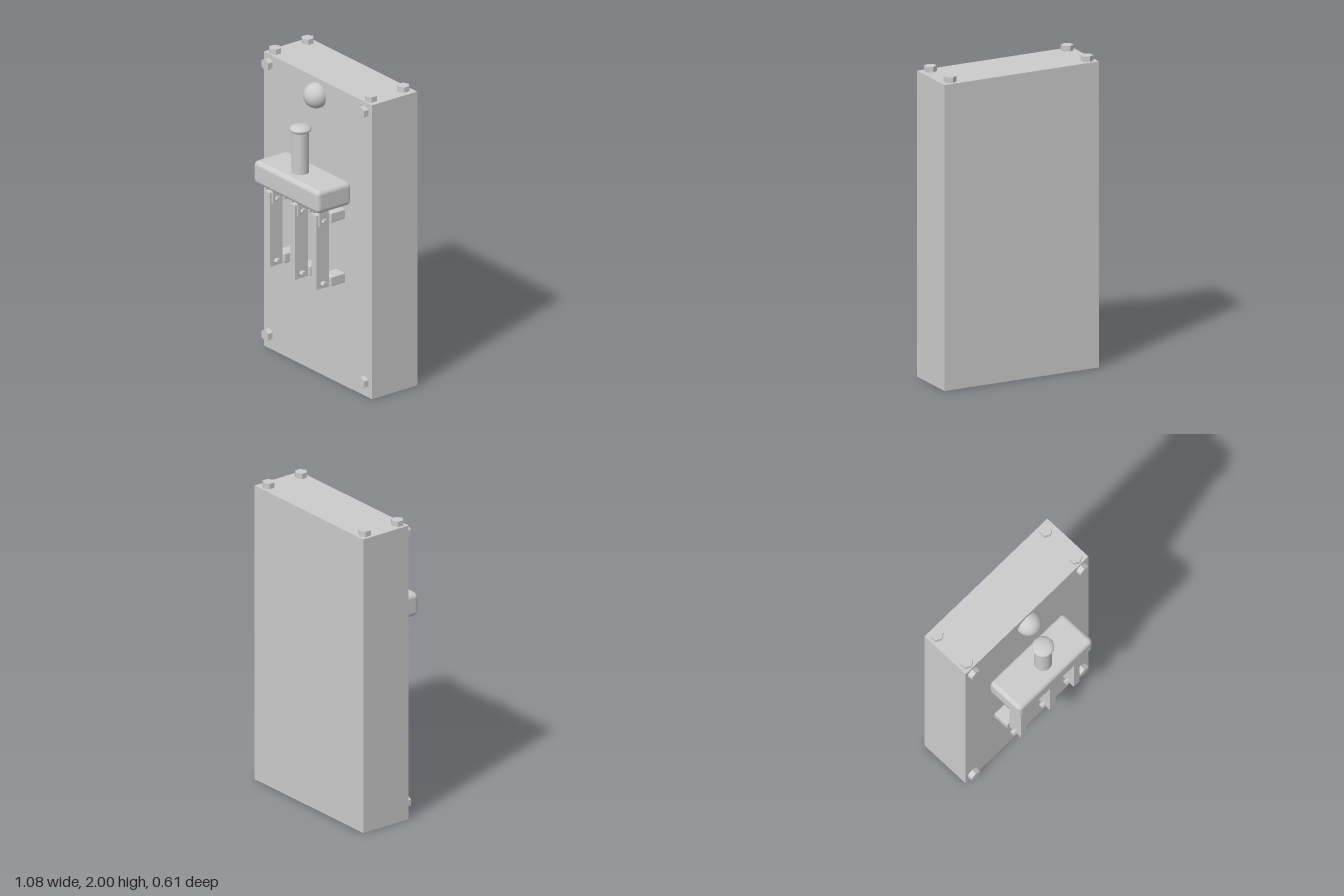
import * as THREE from 'three';
import { RoundedBoxGeometry } from 'three/addons/geometries/RoundedBoxGeometry.js';

const smooth = new THREE.MeshStandardMaterial({ color: 0xcccccc });
const flat = new THREE.MeshStandardMaterial({ color: 0xcccccc, flatShading: true });

function add(parent, name, geometry, x, y, z, material = flat) {
  const mesh = new THREE.Mesh(geometry, material);
  mesh.name = name;
  mesh.position.set(x, y, z);
  parent.add(mesh);
  return mesh;
}

// Hexagonal pin or bolt head, axis along y
const hex = (r, h) => new THREE.CylinderGeometry(r, r, h, 6);

// One pivoting blade with its hanger, wall clips and pins; centred on x = 0
function createBlade() {
  const g = new THREE.Group();
  g.name = 'switchBlade';
  add(g, 'blade', new THREE.BoxGeometry(0.05, 0.495, 0.1), 0, 0.933, 0.207);

  // Hanger: flange under the crossbar and two side plates
  add(g, 'hangerFlange', new THREE.BoxGeometry(0.13, 0.02, 0.07), 0, 1.225, 0.207);
  for (const s of [-1, 1]) {
    add(g, 'hangerPlate', new THREE.BoxGeometry(0.012, 0.12, 0.07), s * 0.031, 1.17, 0.207);
  }

  // Contact clips on the panel, and the pins through the blade
  for (const [clipY, pinY] of [[1.148, 1.135], [0.722, 0.717]]) {
    add(g, 'contactClip', new RoundedBoxGeometry(0.09, 0.065, 0.125, 2, 0.008), 0, clipY, 0.095, smooth);
    add(g, 'hingePin', hex(0.019, 0.106), 0, pinY, 0.207).rotation.z = Math.PI / 2;
  }
  return g;
}

export function createModel() {
  const model = new THREE.Group();
  model.name = 'knifeSwitch';

  // Cabinet
  add(model, 'cabinet', new THREE.BoxGeometry(1.08, 1.965, 0.355), 0, 0.9825, -0.1275);

  // Bolts on the top and on the front corners
  for (const x of [-0.485, 0.47]) {
    for (const z of [-0.25, 0.005]) {
      add(model, 'topBolt', hex(0.04, 0.06), x < 0 ? x : 0.472, 1.97, z);
    }
    for (const y of [0.095, 1.903]) {
      add(model, 'frontBolt', hex(0.04, 0.06), x, y, 0.055).rotation.x = Math.PI / 2;
    }
  }

  // Indicator lamp
  add(model, 'lamp', new THREE.SphereGeometry(0.082, 32, 24), 0, 1.857, 0.062, smooth);

  // Crossbar joining the blades
  add(model, 'crossbar', new RoundedBoxGeometry(0.65, 0.155, 0.27, 4, 0.032), 0, 1.3, 0.17, smooth);

  // Handle with a flattened knob
  add(model, 'handle', new THREE.CylinderGeometry(0.055, 0.055, 0.3, 32), 0, 1.51, 0.187, smooth);
  add(model, 'handleKnob', new THREE.SphereGeometry(0.069, 32, 16), 0, 1.665, 0.187, smooth).scale.y = 0.38;

  // Three blades
  for (const x of [-0.24, 0.013, 0.225]) {
    const blade = createBlade();
    blade.position.x = x;
    model.add(blade);
  }
  return model;
}
